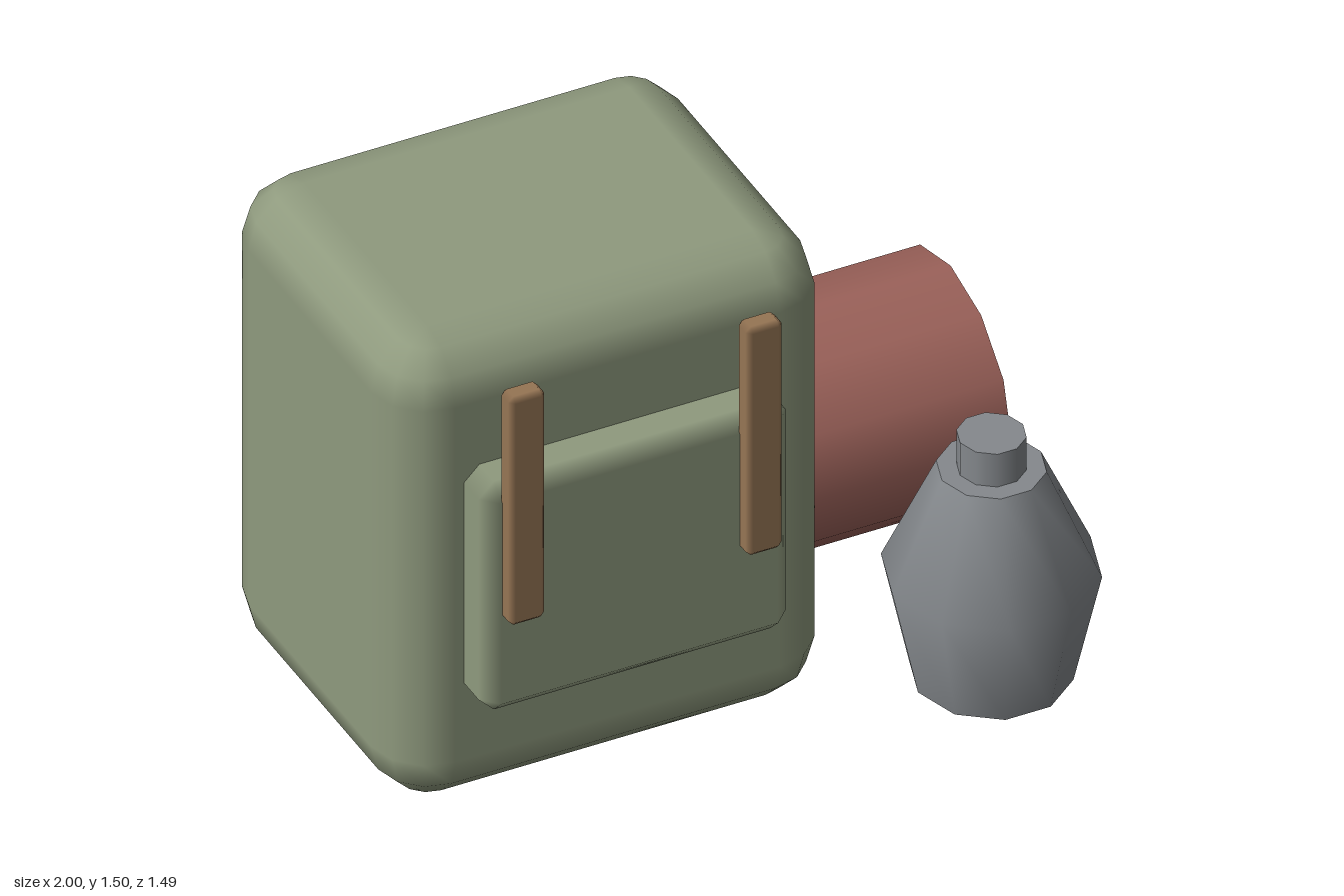
import * as THREE from 'three';

const material = (name, color) => {
  const m = new THREE.MeshStandardMaterial({ color });
  m.name = name;
  return m;
};

// Box with rounded edges: a sphere whose octants are pushed out to the corners.
// n is the number of facets across each rounded edge.
function roundedBox(w, h, d, r, n) {
  const cols = 4 * (n + 1), rows = 2 * n + 3;
  const geo = new THREE.SphereGeometry(1, cols, rows);
  const pos = geo.attributes.position, nor = geo.attributes.normal;
  for (let iy = 0, i = 0; iy <= rows; iy++) {
    const cap = iy === 0 || iy === rows;
    const top = iy <= n + 1;
    const step = top ? Math.max(iy - 1, 0) : Math.min(iy - 2, 2 * n);
    const phi = (step / n) * Math.PI / 2;
    for (let ix = 0; ix <= cols; ix++, i++) {
      const q = Math.floor(ix / (n + 1)) % 4, k = ix % (n + 1);
      const theta = (q + k / n) * Math.PI / 2;
      const nx = -Math.cos(theta) * Math.sin(phi);
      const ny = Math.cos(phi);
      const nz = Math.sin(theta) * Math.sin(phi);
      const sx = q === 0 || q === 3 ? -1 : 1, sz = q < 2 ? 1 : -1, sy = top ? 1 : -1;
      nor.setXYZ(i, nx, ny, nz);
      if (cap) pos.setXYZ(i, 0, sy * h / 2, 0);
      else pos.setXYZ(i, sx * (w / 2 - r) + nx * r, sy * (h / 2 - r) + ny * r, sz * (d / 2 - r) + nz * r);
    }
  }
  return geo;
}

export function createModel() {
  const canvas = material('green canvas', 0x8f9a7e);
  const leather = material('brown leather', 0x967554);
  const cord = material('tan cord', 0x927850);
  const blanket = material('red blanket', 0x9c625a);
  const metal = material('grey metal', 0x85898d);

  const model = new THREE.Group();
  model.name = 'backpack with bedroll and flask';

  const add = (name, geo, mat, x, y, z, parent = model) => {
    const mesh = new THREE.Mesh(geo, mat);
    mesh.name = name;
    mesh.position.set(x, y, z);
    parent.add(mesh);
    return mesh;
  };

  // Pack, front pocket and two straps
  add('pack', roundedBox(1.28, 1.47, 1.04, 0.165, 3), canvas, -0.36, 0.765, -0.12);
  add('frontPocket', roundedBox(0.9, 0.735, 0.2, 0.045, 1), canvas, -0.36, 0.765, 0.43);
  for (const [name, x] of [['rightStrap', -0.71], ['leftStrap', -0.015]]) {
    add(name, roundedBox(0.105, 0.735, 0.068, 0.015, 1), leather, x, 1.082, 0.544);
  }

  // Bedroll lying along x, slightly flattened, with a tie around it
  const roll = (radius, length) =>
    new THREE.CylinderGeometry(radius, radius, length, 12).rotateZ(-Math.PI / 2).scale(1, 0.962, 1);
  add('bedroll', roll(0.355, 0.75), blanket, 0.625, 0.37, -0.363);
  add('bedrollTie', roll(0.382, 0.05), cord, 0.385, 0.37, -0.363);

  // Ten-sided flask with a neck
  const flask = new THREE.Group();
  flask.name = 'flask';
  flask.position.set(0.705, 0.03, 0.46);
  flask.scale.set(0.96, 1, 1);
  model.add(flask);
  const profile = [[0.224, 0], [0.302, 0.34], [0.151, 0.66]].map(p => new THREE.Vector2(...p));
  add('flaskBody', new THREE.LatheGeometry(profile, 10, Math.PI / 2), metal, 0, 0, 0, flask);
  add('flaskBase', new THREE.CircleGeometry(0.224, 10).rotateX(Math.PI / 2), metal, 0, 0, 0, flask);
  add('flaskShoulder', new THREE.CircleGeometry(0.151, 10).rotateX(-Math.PI / 2), metal, 0, 0.66, 0, flask);
  add('flaskNeck', new THREE.CylinderGeometry(0.096, 0.096, 0.125, 10, 1, false, Math.PI / 2), metal, 0, 0.7025, 0, flask);

  return model;
}
